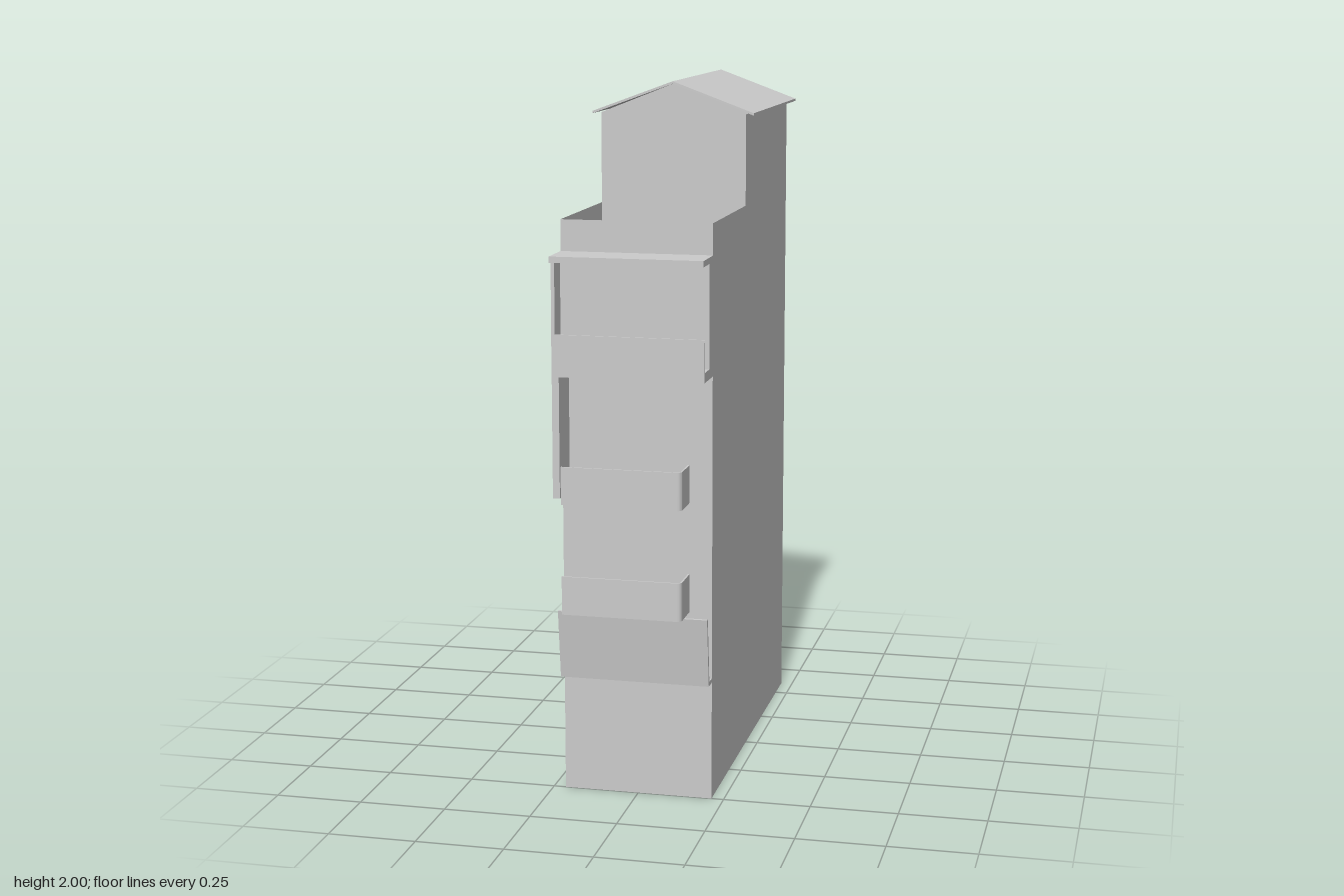
import * as THREE from 'three';

const mat = new THREE.MeshStandardMaterial({ color: 0xcccccc, side: THREE.DoubleSide, flatShading: true });
const W = 0.215;                      // half width of the house
const BACK = -0.6, FRONT = 0.5, STEP = 0.05;
const TERRACE = 1.645, EAVES = 1.908, RIDGE = 1.993;

export function createModel() {
  const model = new THREE.Group();

  const add = (parent, name, geometry) => {
    const mesh = new THREE.Mesh(geometry, mat);
    mesh.name = name;
    parent.add(mesh);
    return mesh;
  };
  const group = (name) => {
    const g = new THREE.Group();
    g.name = name;
    model.add(g);
    return g;
  };
  const shape = (points) => new THREE.Shape(points.map(([a, b]) => new THREE.Vector2(a, b)));
  // Box given by its limits
  const box = (x0, x1, y0, y1, z0, z1) =>
    new THREE.BoxGeometry(x1 - x0, y1 - y0, z1 - z0)
      .translate((x0 + x1) / 2, (y0 + y1) / 2, (z0 + z1) / 2);
  // Flat wall in the x-y plane
  const wall = (points, z) => new THREE.ShapeGeometry(shape(points)).translate(0, 0, z);
  // Side profile in (z, y), extruded across x
  const across = (points, x0, x1) =>
    new THREE.ExtrudeGeometry(shape(points), { depth: x1 - x0, bevelEnabled: false })
      .rotateY(-Math.PI / 2).translate(x1, 0, 0);

  // House shell, open underneath
  const house = group('house');
  const profile = [[BACK, 0], [FRONT, 0], [FRONT, TERRACE], [STEP, TERRACE], [STEP, EAVES], [BACK, EAVES]];
  for (const [name, x] of [['leftWall', W], ['rightWall', -W]]) {
    add(house, name, new THREE.ShapeGeometry(shape(profile)).rotateY(-Math.PI / 2).translate(x, 0, 0));
  }
  const gable = (y0) => [[-W, y0], [W, y0], [W, EAVES], [0, RIDGE], [-W, EAVES]];
  add(house, 'backWall', wall(gable(0), BACK));
  add(house, 'towerFrontWall', wall(gable(1.55), STEP));
  add(house, 'frontWall', wall([[-W, 0], [W, 0], [W, TERRACE], [-W, TERRACE]], FRONT));
  add(house, 'terraceFloor', new THREE.PlaneGeometry(2 * W, FRONT - STEP)
    .rotateX(-Math.PI / 2).translate(0, 1.555, (FRONT + STEP) / 2));

  // Thin gabled roof with overhang
  const roof = shape([[-0.239, 1.905], [0, 1.993], [0.239, 1.905], [0.239, 1.912], [0, 2], [-0.239, 1.912]]);
  add(model, 'roof', new THREE.ExtrudeGeometry(roof, { depth: 0.68, bevelEnabled: false })
    .translate(0, 0, -0.622));

  // Projecting top floor with its loggia
  const loggia = group('topFloorLoggia');
  add(loggia, 'canopy', box(-W, W, 1.54, 1.557, FRONT, 0.622));
  add(loggia, 'projectingRoom', box(-W, W, 1.225, 1.54, FRONT, 0.545));
  add(loggia, 'loggiaFloor', box(-W, W, 1.222, 1.25, FRONT, 0.603));
  add(loggia, 'loggiaParapet', box(-W, W, 1.222, 1.34, 0.6, 0.605));

  // Wing wall at the right end, thinner at the top
  add(model, 'upperWingWall', box(-W, -0.205, 1.222, 1.54, FRONT, 0.604));
  add(model, 'lowerWingWall', box(-W, -0.195, 0.88, 1.222, FRONT, 0.604));

  // Balconies: front parapet turning back to the wall with a rounded corner
  const makeBalcony = (name, y0, y1) => {
    const g = group(name);
    const x0 = -0.192, x1 = 0.15, z1 = 0.605, t = 0.005, r = 0.015;
    const plan = new THREE.Shape();
    plan.moveTo(x0, z1);
    plan.lineTo(x1 - r, z1);
    plan.absarc(x1 - r, z1 - r, r, Math.PI / 2, 0, true);
    plan.lineTo(x1, FRONT);
    plan.lineTo(x1 - t, FRONT);
    plan.lineTo(x1 - t, z1 - r);
    plan.absarc(x1 - r, z1 - r, r - t, 0, Math.PI / 2, false);
    plan.lineTo(x0, z1 - t);
    add(g, 'balconyParapet', new THREE.ExtrudeGeometry(plan, { depth: y1 - y0, bevelEnabled: false, curveSegments: 5 })
      .rotateX(Math.PI / 2).translate(0, y1, 0));
    add(g, 'balconyFloor', box(x0, x1 - 0.008, y0, y0 + 0.01, FRONT, z1 - t));
  };
  makeBalcony('upperBalcony', 0.862, 0.97);
  makeBalcony('lowerBalcony', 0.547, 0.657);

  // Sloping fascia panel with a return to the wall at its foot
  add(model, 'slopingFascia', across([
    [FRONT, 0.345], [0.541, 0.345], [0.566, 0.545], [0.556, 0.545], [0.533, 0.357], [FRONT, 0.357],
  ], -W, W));

  return model;
}
